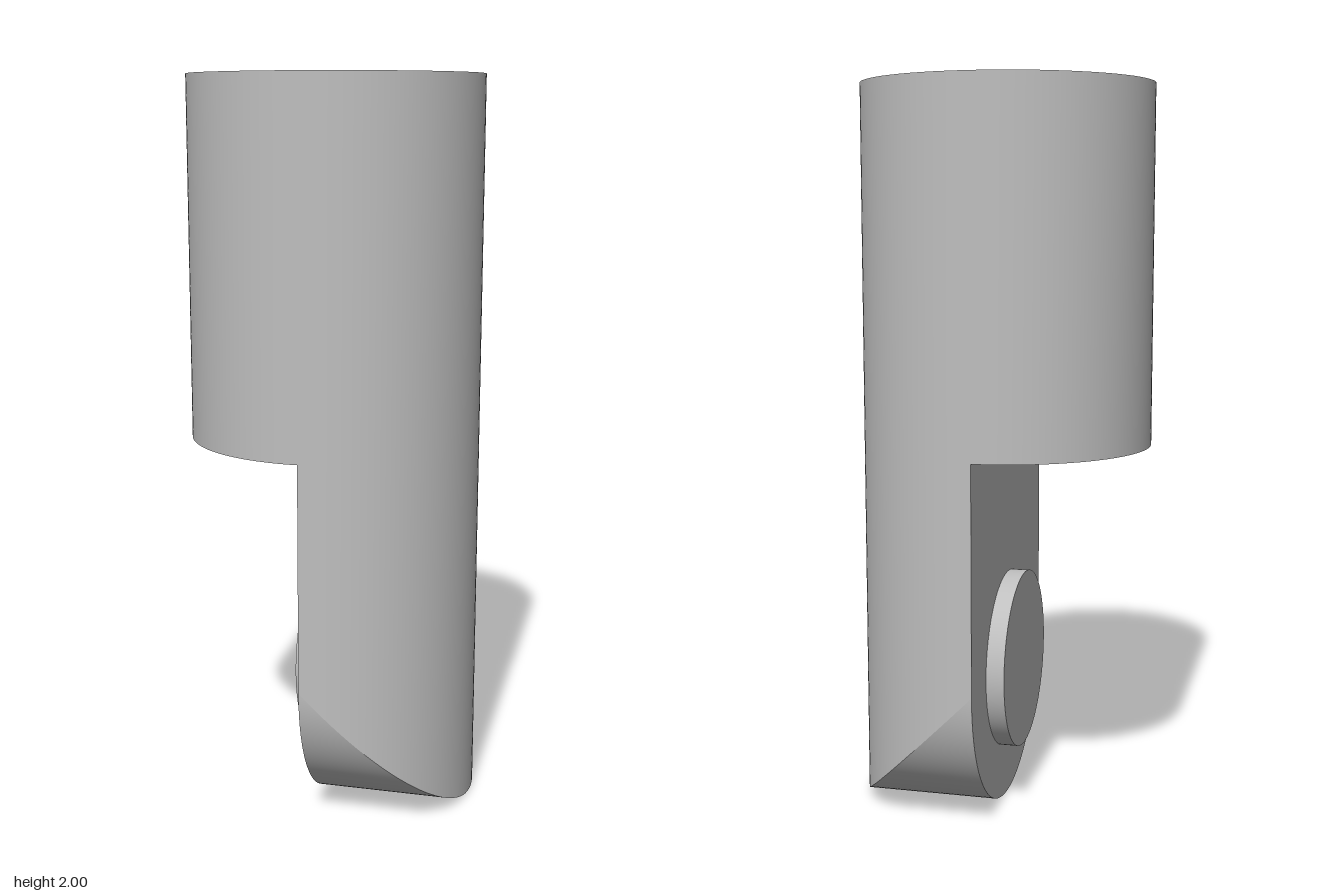
import * as THREE from 'three';

const R = 0.4;        // outer radius
const INNER = 0.38;   // radius of the hollow in the cover
const TOP = 2;
const STEP = 1.02;    // lower edge of the cover
const CEILING = 1.9;  // top of the hollow
const HOLE = 0.075;
const HOLE_FLOOR = 1.95;

// Ruled surface between two curves a(t) and b(t)
function strip(a, b, t0, t1, n = 64) {
  const pos = [], idx = [];
  for (let i = 0; i <= n; i++) {
    const t = t0 + (t1 - t0) * i / n;
    pos.push(...a(t), ...b(t));
    if (i < n) {
      const k = 2 * i;
      idx.push(k, k + 1, k + 2, k + 1, k + 3, k + 2);
    }
  }
  const g = new THREE.BufferGeometry();
  g.setAttribute('position', new THREE.Float32BufferAttribute(pos, 3));
  g.setIndex(idx);
  g.computeVertexNormals();
  return g;
}

// Point curve on a horizontal circle
const ring = (r, y) => t => [r * Math.cos(t), y, r * Math.sin(t)];

export function createModel() {
  const grey = new THREE.MeshStandardMaterial({ color: 0xbfbfbf, side: THREE.DoubleSide });
  grey.name = 'grey';
  const model = new THREE.Group();
  const group = name => {
    const g = new THREE.Group();
    g.name = name;
    model.add(g);
    return g;
  };
  const add = (parent, name, geometry) => {
    const m = new THREE.Mesh(geometry, grey);
    m.name = name;
    parent.add(m);
    return m;
  };
  const q = Math.PI / 2;

  // Half-round stem, its foot rounded across z
  const footY = t => R - R * Math.cos(t);
  const outerFoot = t => [R * Math.cos(t), footY(t), R * Math.sin(t)];
  const innerFoot = t => [0, footY(t), R * Math.sin(t)];
  const flatTop = t => [0, t < -1.25 || t > 1.25 ? STEP : CEILING, INNER * Math.sin(t)];
  const flatStep = t => [0, STEP, R * Math.sin(t)];
  const stem = group('stem');
  add(stem, 'stemRoundSide', strip(outerFoot, ring(R, TOP), -q, q));
  add(stem, 'stemFoot', strip(innerFoot, outerFoot, -q, q));
  add(stem, 'stemFlatFace', strip(flatStep, innerFoot, -q, q));
  const hollowBack = new THREE.PlaneGeometry(2 * INNER, CEILING - STEP);
  hollowBack.rotateY(-q).translate(0, (CEILING + STEP) / 2, 0);
  add(stem, 'hollowBack', hollowBack);

  // Thin half-round cover, open below
  const cover = group('cover');
  add(cover, 'coverOutside', strip(ring(R, STEP), ring(R, TOP), q, 3 * q));
  add(cover, 'coverInside', strip(ring(INNER, CEILING), ring(INNER, STEP), q, 3 * q));
  add(cover, 'coverRim', strip(ring(INNER, STEP), ring(R, STEP), q, 3 * q));
  add(cover, 'coverCeiling', strip(ring(0, CEILING), ring(INNER, CEILING), q, 3 * q));

  // Flat top with a shallow round hole
  const top = group('top');
  add(top, 'topFace', new THREE.RingGeometry(HOLE, R, 128).rotateX(-q).translate(0, TOP, 0));
  add(top, 'holeWall', strip(ring(HOLE, TOP), ring(HOLE, HOLE_FLOOR), 0, 4 * q));
  add(top, 'holeFloor', new THREE.CircleGeometry(HOLE, 64).rotateX(-q).translate(0, HOLE_FLOOR, 0));

  // Round pad on the flat face
  const pad = new THREE.CylinderGeometry(0.25, 0.25, 0.05, 96).rotateZ(q);
  add(model, 'pad', pad).position.set(-0.025, 0.4, 0);

  return model;
}
